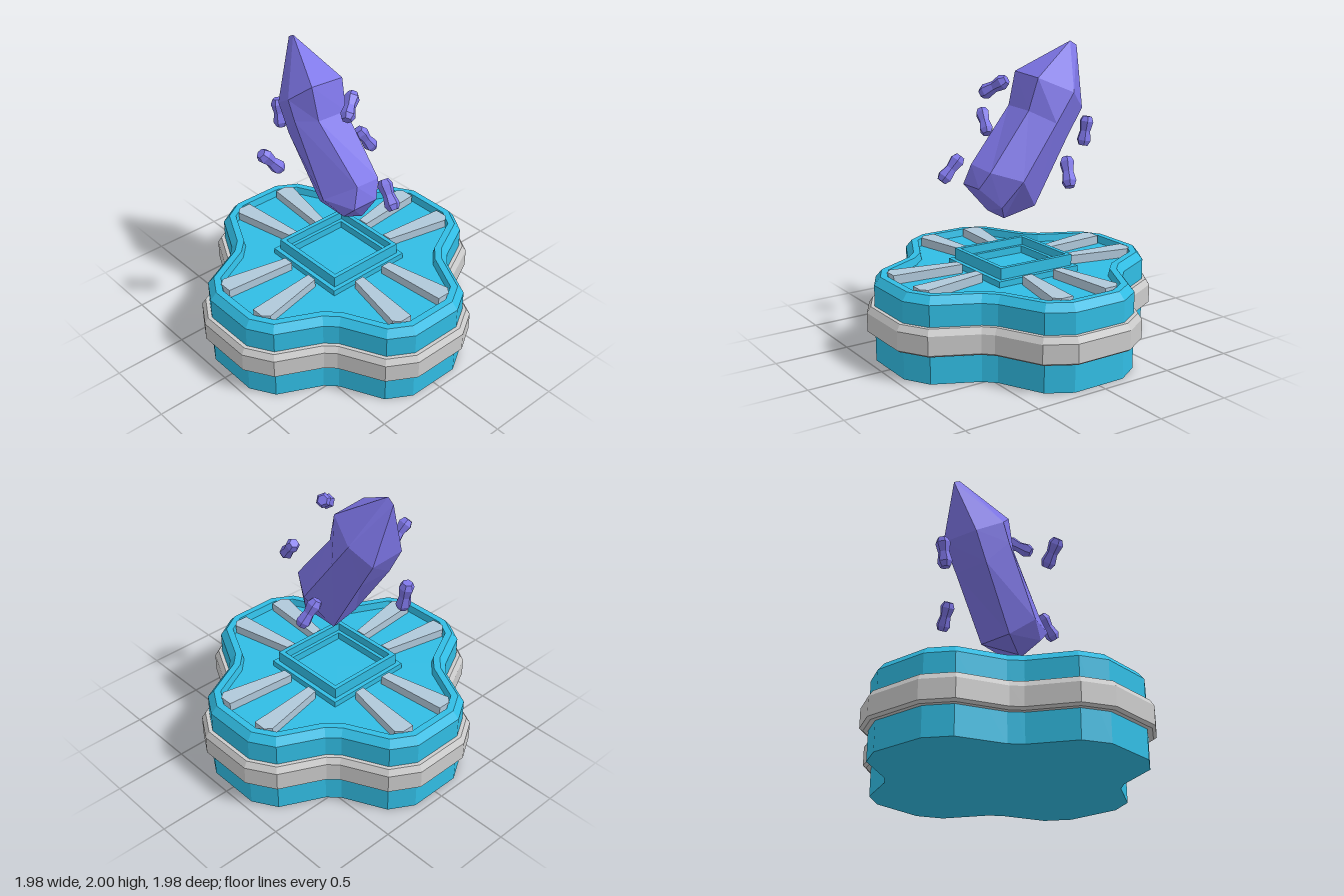
import * as THREE from 'three';

const material = (color) => new THREE.MeshStandardMaterial({ color, flatShading: true });
const teal = material(0x31bde4);
const grey = material(0xcccccc);
const paleBlue = material(0xb0c8da);
const purple = material(0x7d75e6);

function addMesh(parent, name, geometry, mat) {
  const mesh = new THREE.Mesh(geometry, mat);
  mesh.name = name;
  parent.add(mesh);
  return mesh;
}

// Joins rings of [x, y, z] points (clockwise from above, listed bottom to top) with faceted faces
function skin(rings) {
  const pos = [];
  for (let j = 0; j < rings.length - 1; j++) {
    const n = rings[j].length;
    for (let i = 0; i < n; i++) {
      const k = (i + 1) % n;
      const a = rings[j][i], b = rings[j][k], c = rings[j + 1][k], d = rings[j + 1][i];
      pos.push(...a, ...d, ...c, ...a, ...c, ...b);
    }
  }
  const geometry = new THREE.BufferGeometry();
  geometry.setAttribute('position', new THREE.Float32BufferAttribute(pos, 3));
  geometry.computeVertexNormals();
  return geometry;
}

// Four-lobed plan: one quadrant turned four times
const quadrant = [[0.99, 0.2], [0.88, 0.385], [0.59, 0.53], [0.53, 0.59], [0.385, 0.88], [0.2, 0.99]];
const outline = [];
for (let q = 0, turn = ([x, z]) => [-z, x]; q < 4; q++) {
  for (let p of quadrant) {
    for (let t = 0; t < q; t++) p = turn(p);
    outline.push(new THREE.Vector2(...p));
  }
}

// Plan moved inwards by a mitred distance at height y; null gives the centre
function lobedRing([inset, y]) {
  const n = outline.length;
  const inward = (a, b) => new THREE.Vector2(a.y - b.y, b.x - a.x).normalize();
  return outline.map((p, i) => {
    if (inset === null) return [0, y, 0];
    const n1 = inward(outline[(i + n - 1) % n], p);
    const n2 = inward(p, outline[(i + 1) % n]);
    const s = inset / (1 + n1.dot(n2));
    return [p.x + (n1.x + n2.x) * s, y, p.y + (n1.y + n2.y) * s];
  });
}

const squareRing = ([h, y]) => [[h, y, -h], [h, y, h], [-h, y, h], [-h, y, -h]];

function buildPedestal() {
  const group = new THREE.Group();
  group.name = 'pedestal';

  // Body with chamfered rim and sunken floor
  const body = [[null, 0], [0.05, 0], [0.05, 0.51], [0.09, 0.56], [0.135, 0.56], [0.145, 0.51], [null, 0.51]];
  addMesh(group, 'body', skin(body.map(lobedRing)), teal);

  // Protruding band round the body
  const band = [[0.06, 0.19], [0.02, 0.19], [0, 0.205], [0, 0.33], [0.025, 0.37], [0.06, 0.37]];
  addMesh(group, 'band', skin(band.map(lobedRing)), grey);

  // Stepped square socket in the middle
  const socket = [[0.31, 0.5], [0.31, 0.55], [0.28, 0.55], [0.28, 0.625], [0.25, 0.625],
    [0.25, 0.57], [0.225, 0.57], [0.225, 0.52], [0, 0.52]];
  addMesh(group, 'socket', skin(socket.map(squareRing)), teal);

  // Tapered spokes, a mirrored pair on each lobe
  const plan = [[0.34, 0.085], [0.83, 0.125], [0.83, 0.215], [0.79, 0.25], [0.34, 0.155]];
  for (let q = 0; q < 4; q++) {
    for (const side of [1, -1]) {
      const shape = new THREE.Shape(plan.map(([x, y]) => new THREE.Vector2(x, y * side)));
      const geometry = new THREE.ExtrudeGeometry(shape, { depth: 0.07, bevelEnabled: false });
      geometry.rotateX(-Math.PI / 2).translate(0, 0.5, 0).rotateY(q * Math.PI / 2);
      addMesh(group, 'spoke', geometry, paleBlue);
    }
  }
  return group;
}

// Leaning crystal: six-sided sections from the blunt foot to the wedge tip
function buildCrystal() {
  const foot = [0.02, 0.94, 0.21], tip = [0.015, 2, -0.45], tipBack = [0.02, 1.97, -0.5];
  return skin([
    Array(6).fill(foot),
    [[0.06, 1.1, 0.3], [-0.13, 1.1, 0.3], [-0.14, 1.01, 0.21], [-0.02, 0.91, 0.12], [0.04, 0.875, 0.095], [0.13, 0.97, 0.17]],
    [[0.12, 1.21, 0.25], [-0.08, 1.236, 0.27], [-0.2, 1.1, 0.08], [-0.1, 0.97, -0.07], [0.12, 0.95, -0.095], [0.23, 1.15, 0.07]],
    [[0.11, 1.58, -0.05], [-0.12, 1.59, -0.05], [-0.2, 1.56, -0.19], [-0.13, 1.38, -0.34], [0.13, 1.38, -0.345], [0.225, 1.5, -0.19]],
    [[0.13, 1.79, -0.11], [-0.125, 1.81, -0.105], [-0.2, 1.69, -0.25], [-0.13, 1.57, -0.44], [0.14, 1.57, -0.46], [0.22, 1.69, -0.33]],
    [tip, tip, tip, tipBack, tipBack, tipBack],
  ]);
}

export function createModel() {
  const model = new THREE.Group();
  model.name = 'crystalPedestal';
  model.add(buildPedestal());
  addMesh(model, 'crystal', buildCrystal(), purple);

  // Waisted shards floating round the crystal: position and direction
  const profile = [[0, -0.1], [0.033, -0.1], [0.05, -0.065], [0.037, 0], [0.05, 0.065], [0.033, 0.1], [0, 0.1]];
  const shard = new THREE.LatheGeometry(profile.map((p) => new THREE.Vector2(...p)), 6);
  const up = new THREE.Vector3(0, 1, 0);
  const places = [
    [[-0.02, 1.735, 0.13], [0.1, 0.07, -0.07]],
    [[0, 1.245, 0.47], [0.02, 0.13, -0.11]],
    [[0.39, 1.215, -0.16], [-0.09, 0.15, -0.04]],
    [[-0.475, 1.425, -0.09], [-0.11, 0.13, -0.03]],
    [[0, 1.38, -0.6], [0, 0.17, -0.03]],
  ];
  for (const [position, direction] of places) {
    const mesh = addMesh(model, 'shard', shard, purple);
    mesh.position.set(...position);
    mesh.quaternion.setFromUnitVectors(up, new THREE.Vector3(...direction).normalize());
  }
  return model;
}
